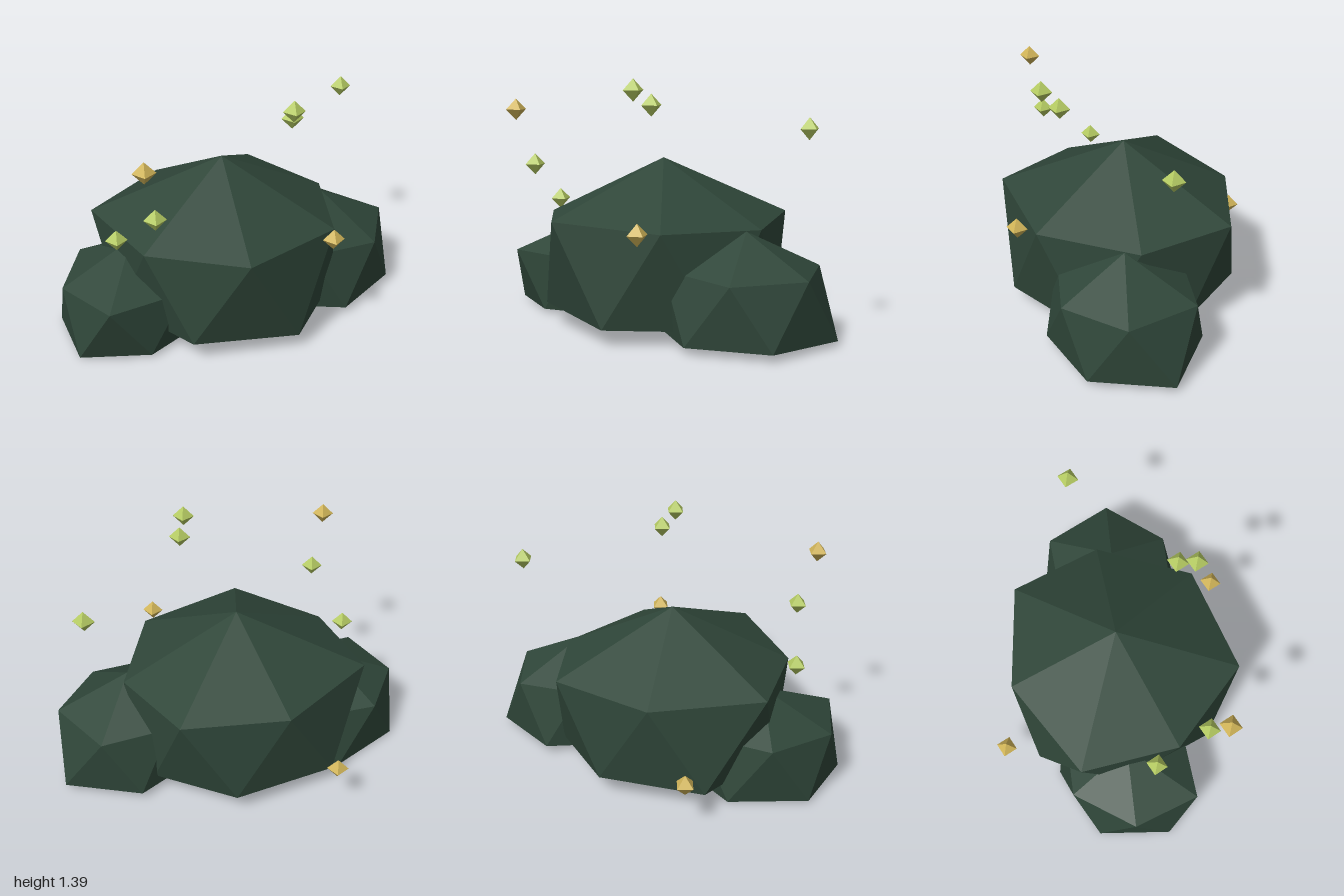
import * as THREE from 'three';

// Faceted mound: an apex, two staggered rings of corners and a flat underside.
function moundGeometry(apex, upper, lower) {
  const n = upper.length;
  const base = [0, 1, 2].map((k) => lower.reduce((sum, p) => sum + p[k], 0) / n);
  const pos = [];
  const tri = (a, b, c) => pos.push(...a, ...b, ...c);
  for (let i = 0; i < n; i++) {
    const j = (i + 1) % n;
    tri(apex, upper[j], upper[i]);
    tri(upper[i], upper[j], lower[i]);
    tri(lower[i], upper[j], lower[j]);
    tri(base, lower[i], lower[j]);
  }
  const g = new THREE.BufferGeometry();
  g.setAttribute('position', new THREE.Float32BufferAttribute(pos, 3));
  g.computeVertexNormals();
  return g;
}

export function createModel() {
  const material = (name, color) => {
    const m = new THREE.MeshStandardMaterial({ color });
    m.name = name;
    return m;
  };
  const leafGreen = material('leafGreen', 0x2f4639);
  const glowGreen = material('glowGreen', 0xb4ca62);
  const glowGold = material('glowGold', 0xd0b458);

  const model = new THREE.Group();
  model.name = 'bushWithFireflies';
  const add = (name, geometry, mat) => {
    const mesh = new THREE.Mesh(geometry, mat);
    mesh.name = name;
    model.add(mesh);
    return mesh;
  };

  // Large seven-sided clump in the middle
  add('mainClump', moundGeometry([-0.04, 0.93, 0.04],
    [[0.57, 0.59, 0.31], [0.12, 0.61, 0.69], [-0.51, 0.63, 0.58], [-0.71, 0.6, 0.03],
      [-0.53, 0.62, -0.51], [0.11, 0.6, -0.57], [0.61, 0.61, -0.24]],
    [[0.38, 0.08, 0.54], [-0.2, 0.09, 0.69], [-0.65, 0.12, 0.31], [-0.61, 0.12, -0.24],
      [-0.2, 0.1, -0.61], [0.38, 0.11, -0.44], [0.6, 0.1, 0.02]]), leafGreen);

  // Smaller six-sided clumps at the front left and back right
  add('frontLeftClump', moundGeometry([0.5, 0.59, 0.37],
    [[0.86, 0.385, 0.57], [0.49, 0.375, 0.75], [0.1, 0.4, 0.56],
      [0.1, 0.4, 0.17], [0.5, 0.4, 0], [0.86, 0.385, 0.15]],
    [[0.71, 0.04, 0.73], [0.25, 0.04, 0.72], [0.02, 0.04, 0.37],
      [0.27, 0.04, 0.02], [0.71, 0.04, 0], [0.99, 0.03, 0.36]]), leafGreen);
  add('backRightClump', moundGeometry([-0.54, 0.54, -0.21],
    [[-0.15, 0.36, 0], [-0.54, 0.34, 0.17], [-0.96, 0.345, 0],
      [-0.91, 0.34, -0.39], [-0.56, 0.35, -0.59], [-0.17, 0.35, -0.4]],
    [[-0.32, 0.015, 0.13], [-0.75, 0.02, 0.1], [-1, 0.015, -0.2],
      [-0.78, 0.01, -0.55], [-0.33, 0.01, -0.55], [-0.1, 0, -0.2]]), leafGreen);

  // Floating diamond-shaped fireflies
  const diamond = new THREE.OctahedronGeometry(0.06).rotateY(Math.PI / 4);
  const scatter = (name, mat, spots) => spots.forEach((p, i) =>
    add(name + (i + 1), diamond, mat).position.set(...p));
  scatter('greenFirefly', glowGreen, [[-0.07, 1.33, 0.525], [0.01, 1.25, 0.465],
    [0.81, 1.13, 0.28], [-0.765, 0.885, 0.165], [-0.73, 0.645, -0.14]]);
  scatter('goldFirefly', glowGold, [[-0.865, 1.195, 0.19], [0.015, 0.615, 0.75],
    [-0.085, 0.265, -0.755]]);

  return model;
}
